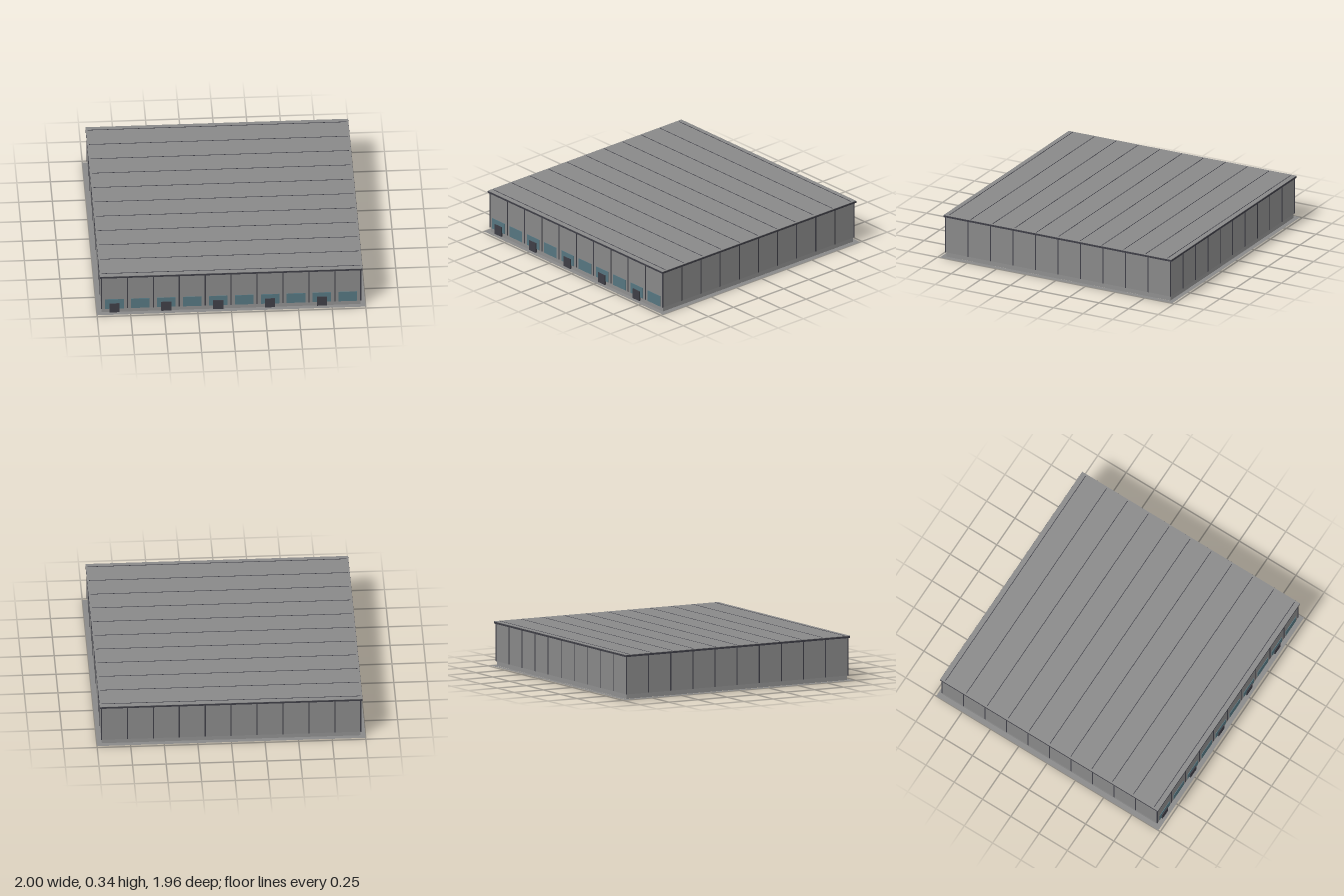
import * as THREE from 'three';

const mat = (name, color, side = THREE.FrontSide) => {
  const m = new THREE.MeshStandardMaterial({ color, side });
  m.name = name;
  return m;
};

export function createModel() {
  const model = new THREE.Group();
  model.name = 'warehouse';

  const panel = mat('panel grey', 0x888888);
  const concrete = mat('concrete grey', 0x8e8e8e);
  const paving = mat('paving grey', 0x888888, THREE.DoubleSide);
  const trim = mat('dark trim', 0x3e3e46);
  const glass = mat('window blue', 0x55757f);

  const box = (name, material, w, h, d, x, y, z) => {
    const mesh = new THREE.Mesh(new THREE.BoxGeometry(w, h, d), material);
    mesh.name = name;
    mesh.position.set(x, y, z);
    model.add(mesh);
    return mesh;
  };
  const rect = (Type, hw, hd) => {
    const p = new Type();
    p.moveTo(-hw, -hd).lineTo(hw, -hd).lineTo(hw, hd).lineTo(-hw, hd).closePath();
    return p;
  };

  const HX = 0.965, HZ = 0.95;      // half size of the walls
  const BAYS = 10;
  const bayX = 2 * HX / BAYS, bayZ = 2 * HZ / BAYS;
  const Y0 = 0.036, Y1 = 0.322;     // bottom and top of the wall panels

  // Flat paved apron around the building
  const ring = rect(THREE.Shape, 1, 0.982);
  ring.holes.push(rect(THREE.Path, 0.961, 0.945));
  const apron = new THREE.Mesh(new THREE.ShapeGeometry(ring).rotateX(-Math.PI / 2), paving);
  apron.name = 'apron';
  apron.position.y = 0.001;
  model.add(apron);

  // Floor, plinth and walls
  box('floor', trim, 1.89, 0.006, 1.86, 0, 0.003, 0);
  box('plinth', concrete, 1.925, Y0 - 0.002, 1.893, 0, (Y0 + 0.002) / 2, 0);
  box('walls', panel, 2 * HX, Y1 - Y0, 2 * HZ, 0, (Y0 + Y1) / 2, 0);

  // Dark joints between the wall panels
  const midY = (Y0 + Y1) / 2, jointH = Y1 - Y0;
  for (const s of [-1, 1]) {
    for (let i = 0; i <= BAYS; i++) {
      box('wallJoint', trim, 0.008, jointH, 0.006, -HX + i * bayX, midY, s * HZ);
      if (i > 0 && i < BAYS)
        box('sideJoint', trim, 0.006, jointH, 0.008, s * HX, midY, -HZ + i * bayZ);
    }
  }

  // Roof edge trim, roof sheet and seams
  box('roofTrim', trim, 1.956, 0.014, 1.926, 0, 0.326, 0);
  box('roofSheet', panel, 1.954, 0.003, 1.924, 0, 0.3345, 0);
  for (let i = -5; i <= 5; i++)
    box('roofSeam', trim, 1.926, 0.002, 0.005, 0, 0.3365, i * 0.1845);

  // Front windows in every bay, doors in every other bay
  for (let i = 0; i < BAYS; i++) {
    const x = -HX + (i + 0.5) * bayX;
    box('window', glass, 0.138, 0.084, 0.006, x, 0.079, HZ + 0.001);
    if (i % 2 === 0) box('door', trim, 0.076, 0.078, 0.016, x, 0.046, HZ + 0.002);
  }

  return model;
}
